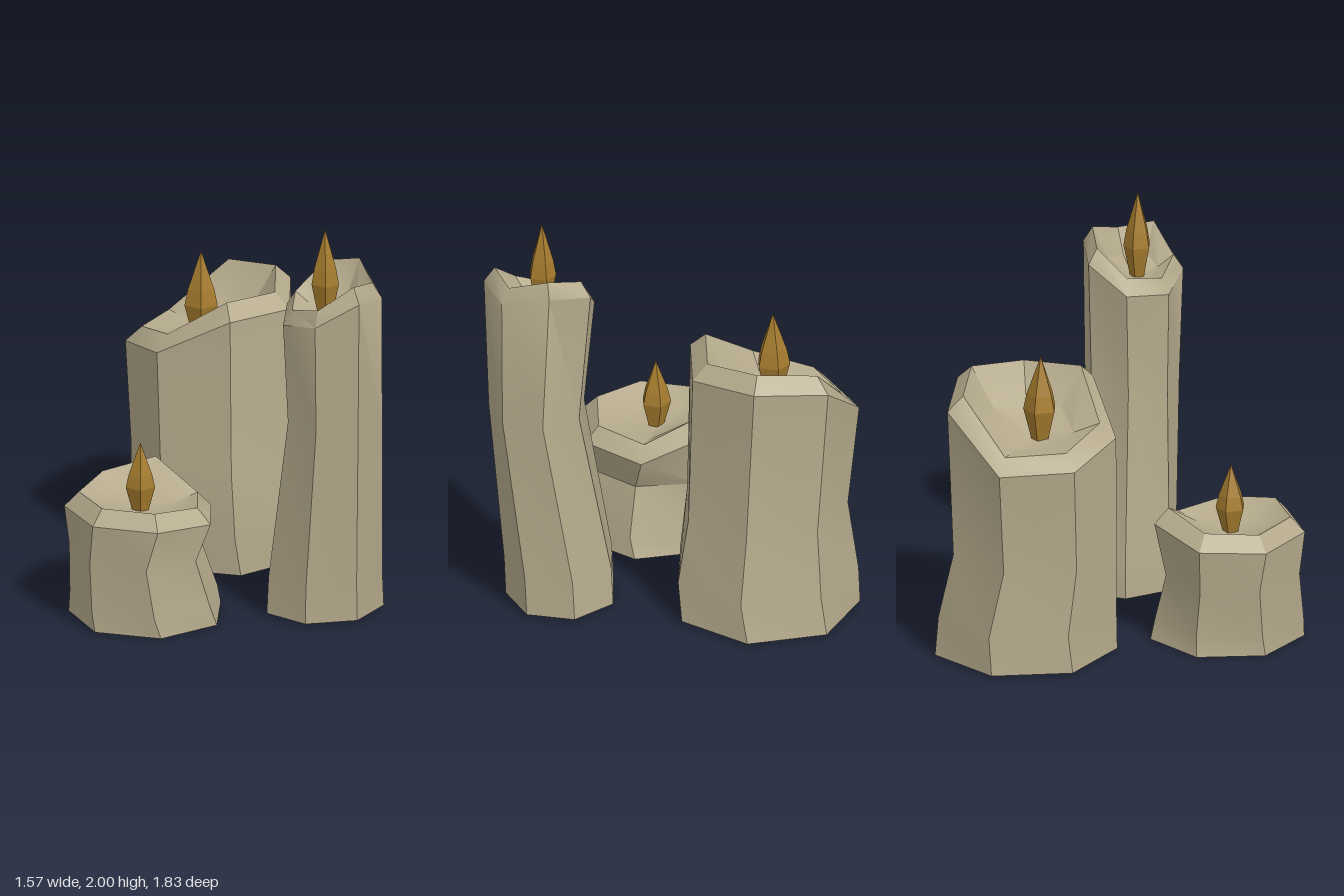
import * as THREE from 'three';
import { toCreasedNormals } from 'three/addons/utils/BufferGeometryUtils.js';

const SIDES = 7;
const wax = new THREE.MeshStandardMaterial({ color: 0xb5aa8c });
const fire = new THREE.MeshStandardMaterial({ color: 0xa67c2e, flatShading: true });

// Skin a stack of closed rings; a ring with a single point closes the end.
function loft(rings) {
  const pos = [];
  const at = (ring, j) => ring[j % ring.length];
  for (let i = 0; i + 1 < rings.length; i++) {
    const lo = rings[i], up = rings[i + 1];
    for (let j = 0; j < SIDES; j++) {
      const a = at(lo, j), b = at(lo, j + 1), c = at(up, j), d = at(up, j + 1);
      if (up.length > 1) pos.push(...a, ...c, ...d);
      if (lo.length > 1) pos.push(...a, ...d, ...b);
    }
  }
  const geo = new THREE.BufferGeometry();
  geo.setAttribute('position', new THREE.Float32BufferAttribute(pos, 3));
  return toCreasedNormals(geo, 0.55);
}

// Seven-sided ring, corners running clockwise from the back as seen from above
function polygonRing(y, cx, cz, rx, rz, turn) {
  return Array.from({ length: SIDES }, (_, j) => {
    const t = turn + (j * 2 * Math.PI) / SIDES;
    return [cx + rx * Math.sin(t), y, cz - rz * Math.cos(t)];
  });
}

// Shrink a ring toward a point, sideways and in height
const shrink = (ring, [cx, cy, cz], side, rise) => ring.map(([x, y, z]) => [
  cx + (x - cx) * side, cy + (y - cy) * rise, cz + (z - cz) * side,
]);

// sections: [y, centre x, centre z, radius x, radius z, turn], from base to rim
// rimRise: height of each rim corner above the last section
function makeCandle(name, sections, rimRise, wick, flameHeight, flameRadius) {
  const group = new THREE.Group();
  group.name = name;

  // Body, bevelled rim and melted hollow in one skin
  const body = sections.map((s) => polygonRing(...s));
  const rim = body[body.length - 1];
  rim.forEach((p, j) => { p[1] += rimRise[j]; });
  const [baseY, baseX, baseZ] = sections[0];
  const [, rimX, rimZ] = sections[sections.length - 1];
  const floor = [rimX, wick[1] + 0.01, rimZ];
  const lip = shrink(rim, floor, 0.81, 1).map(([x, y, z]) => [x, y + 0.075, z]);
  const hollow = shrink(lip, floor, 0.62, 0.35);
  const waxBody = new THREE.Mesh(
    loft([[[baseX, baseY, baseZ]], ...body, lip, hollow, [floor]]), wax);
  waxBody.name = 'waxBody';
  group.add(waxBody);

  // Five-sided faceted flame
  const profile = [[0, 0], [0.5, 0], [1, 0.38], [0.8, 0.56], [0, 1]]
    .map(([r, h]) => new THREE.Vector2(r * flameRadius, h * flameHeight));
  const flame = new THREE.Mesh(new THREE.LatheGeometry(profile, 5), fire);
  flame.position.set(...wick);
  flame.rotation.y = 0.8;
  flame.name = 'flame';
  group.add(flame);
  return group;
}

export function createModel() {
  const model = new THREE.Group();
  model.name = 'candleCluster';

  model.add(makeCandle('wideCandle', [
    [0.01, 0.334, -0.461, 0.456, 0.46, -0.18],
    [0.2, 0.323, -0.452, 0.44, 0.46, -0.12],
    [0.53, 0.291, -0.445, 0.41, 0.41, -0.17],
    [1.05, 0.29, -0.48, 0.42, 0.43, -0.18],
  ], [0, 0.24, 0.28, 0.25, 0.26, 0.07, 0.01], [0.23, 1.1, -0.48], 0.44, 0.085));

  model.add(makeCandle('tallCandle', [
    [0.01, 0.385, 0.532, 0.3, 0.275, 0.29],
    [0.2, 0.381, 0.541, 0.29, 0.275, 0.3],
    [1.02, 0.384, 0.654, 0.235, 0.24, 0.42],
    [1.52, 0.372, 0.639, 0.24, 0.28, 0.4],
  ], [0.16, 0.2, 0.14, 0.17, 0.05, 0, 0.03], [0.34, 1.55, 0.64], 0.45, 0.07));

  model.add(makeCandle('shortCandle', [
    [0, -0.411, 0.211, 0.385, 0.385, -0.15],
    [0.1, -0.425, 0.217, 0.37, 0.375, -0.09],
    [0.34, -0.461, 0.197, 0.325, 0.36, -0.07],
    [0.5, -0.436, 0.192, 0.37, 0.395, -0.17],
  ], [0.06, 0.12, 0, 0.02, 0.045, 0.045, 0.04], [-0.445, 0.52, 0.2], 0.36, 0.075));

  return model;
}
